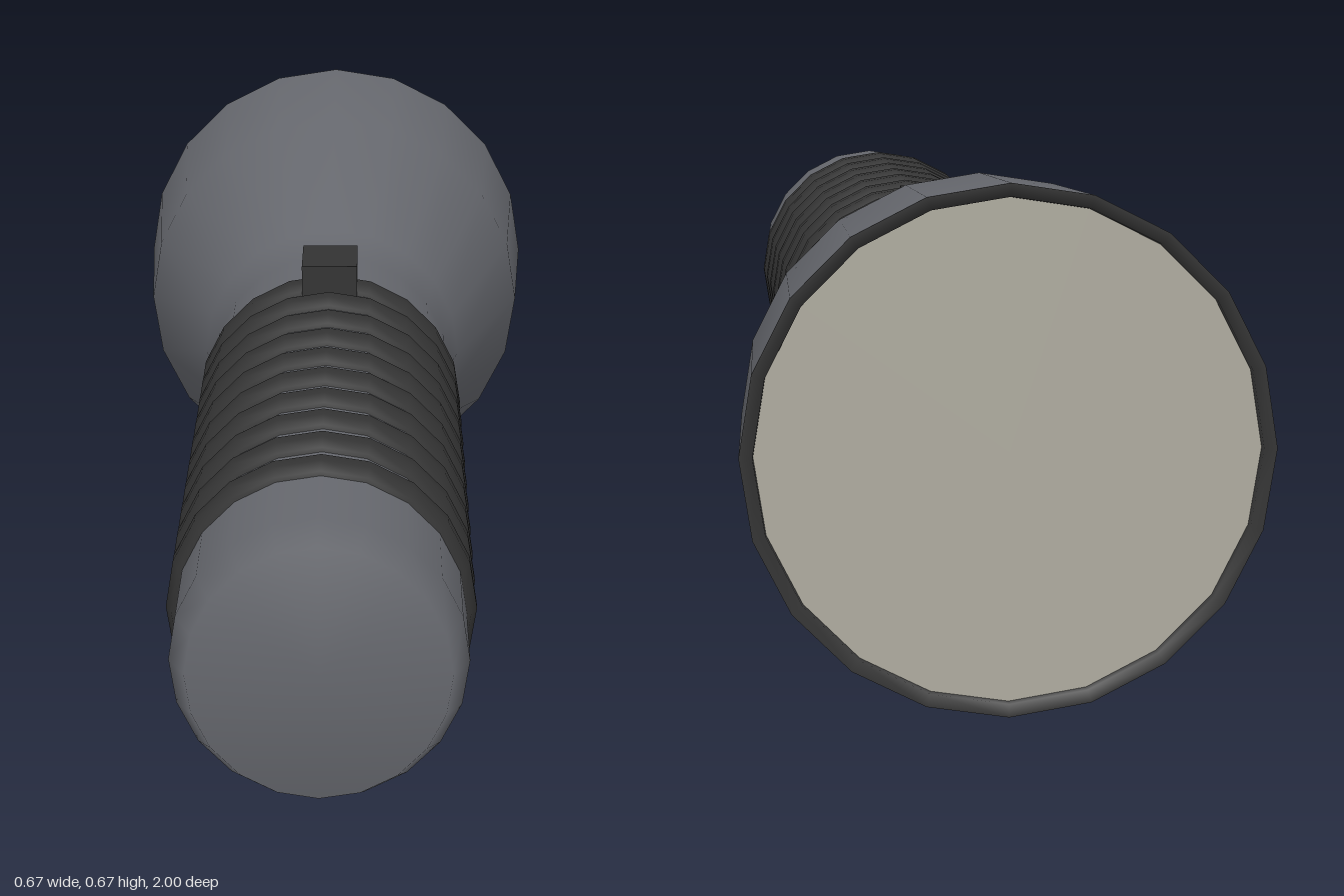
import * as THREE from 'three';

const SIDES = 20;
const AXIS_Y = 0.336;

const bodyGrey = new THREE.MeshStandardMaterial({ name: 'bodyGrey', color: 0x66686e });
const rubberBlack = new THREE.MeshStandardMaterial({ name: 'rubberBlack', color: 0x333333 });
const lensCream = new THREE.MeshStandardMaterial({ name: 'lensCream', color: 0xaeab9f });

// Turned part: profile of [radius, z], listed from back to front
function turned(profile) {
  const points = profile.map(([r, z]) => new THREE.Vector2(r, z));
  return new THREE.LatheGeometry(points, SIDES).rotateX(Math.PI / 2);
}

export function createModel() {
  const model = new THREE.Group();
  model.name = 'flashlight';

  function add(name, geometry, material, x, y, z) {
    const mesh = new THREE.Mesh(geometry, material);
    mesh.name = name;
    mesh.position.set(x, y, z);
    model.add(mesh);
    return mesh;
  }

  // Handle, flared head and rounded tail cap in one smooth shell
  add('body', turned([
    [0.335, -1], [0.315, -0.68], [0.207, -0.36], [0.19, -0.27],
    [0.19, 0.95], [0.168, 1], [0, 1],
  ]), bodyGrey, 0, AXIS_Y, 0);

  // Rim and slightly recessed lens at the back end
  add('headRim', turned([[0.316, -0.985], [0.318, -1], [0.335, -1]]), rubberBlack, 0, AXIS_Y, 0);
  const lens = new THREE.CircleGeometry(0.317, SIDES, Math.PI / 2).rotateY(Math.PI);
  add('lens', lens, lensCream, 0, AXIS_Y, -0.99);

  // Rubber grip rings
  const ring = turned([
    [0.186, -0.034], [0.196, -0.032], [0.204, -0.012],
    [0.204, 0.012], [0.196, 0.032], [0.186, 0.034],
  ]);
  for (let i = 0; i < 10; i++) {
    add('gripRing' + (i + 1), ring, rubberBlack, 0, AXIS_Y, 0.76 - i * 0.0945);
  }

  // Slide switch on top
  add('switch', new THREE.BoxGeometry(0.085, 0.05, 0.122), rubberBlack, 0, 0.543, -0.112);

  return model;
}
